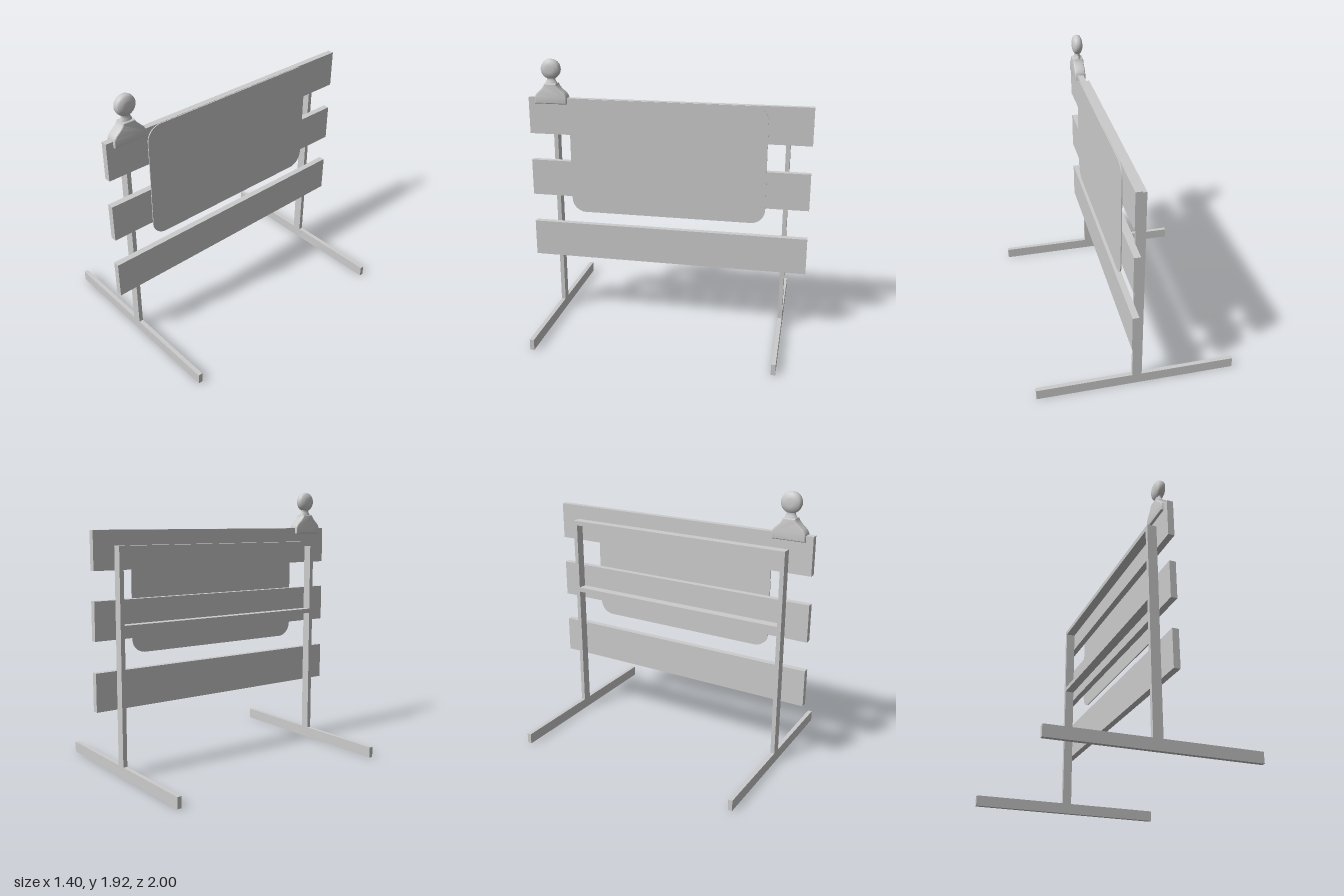
import * as THREE from 'three';
import { toCreasedNormals } from 'three/addons/utils/BufferGeometryUtils.js';

const grey = new THREE.MeshStandardMaterial({ color: 0xcccccc });

export function createModel() {
  const model = new THREE.Group();
  model.name = 'barricade';

  const add = (name, geometry, parent = model) => {
    const mesh = new THREE.Mesh(geometry, grey);
    mesh.name = name;
    parent.add(mesh);
    return mesh;
  };
  // Box given by its lowest and highest corner
  const box = (name, [x0, y0, z0], [x1, y1, z1]) =>
    add(name, new THREE.BoxGeometry(x1 - x0, y1 - y0, z1 - z0))
      .position.set((x0 + x1) / 2, (y0 + y1) / 2, (z0 + z1) / 2);
  // Symmetric side outline, extruded along x and centred on it
  const slab = (shape, depth, bevel) => {
    const g = new THREE.ExtrudeGeometry(shape, {
      depth: depth - 2 * bevel, curveSegments: 10, bevelEnabled: bevel > 0,
      bevelSize: bevel, bevelThickness: bevel, bevelOffset: -bevel, bevelSegments: 3,
    });
    g.translate(0, 0, bevel - depth / 2);
    g.rotateY(Math.PI / 2);
    return toCreasedNormals(g, 0.6);
  };

  // Feet and uprights
  for (const z of [0.825, -0.835]) {
    box('foot', [-0.7, 0, z - 0.015], [0.7, 0.076, z + 0.015]);
    box('upright', [-0.036, 0.076, z - 0.015], [0.03, 1.55, z + 0.015]);
  }

  // Cross rails joining the uprights
  for (const top of [1.55, 1.03])
    box('crossRail', [-0.036, top - 0.033, -0.82], [0.03, top, 0.81]);

  // Three boards
  for (const y of [0.46, 0.932, 1.39])
    box('board', [0.034, y, -1], [0.078, y + 0.262, 1]);

  // Sign panel with rounded corners
  const w = 0.7, h = 0.415, r = 0.1;
  const panel = new THREE.Shape();
  panel.moveTo(w, h - r);
  panel.absarc(w - r, h - r, r, 0, Math.PI / 2);
  panel.absarc(r - w, h - r, r, Math.PI / 2, Math.PI);
  panel.absarc(r - w, r - h, r, Math.PI, Math.PI * 1.5);
  panel.absarc(w - r, r - h, r, Math.PI * 1.5, Math.PI * 2);
  add('signPanel', slab(panel, 0.007, 0)).position.set(0.0815, 1.235, 0);

  // Warning lamp straddling the top board
  const lamp = new THREE.Group();
  lamp.name = 'warningLamp';
  lamp.position.set(0.056, 1.61, 0.832);
  model.add(lamp);

  const body = new THREE.Shape();
  body.moveTo(-0.117, 0);
  body.lineTo(0.117, 0);
  body.lineTo(0.117, 0.045);
  body.quadraticCurveTo(0.112, 0.066, 0.09, 0.085);
  body.quadraticCurveTo(0.048, 0.12, 0.043, 0.143);
  body.lineTo(-0.043, 0.143);
  body.quadraticCurveTo(-0.048, 0.12, -0.09, 0.085);
  body.quadraticCurveTo(-0.112, 0.066, -0.117, 0.045);
  add('lampBody', slab(body, 0.078, 0.008));

  // Flattened neck
  const neck = new THREE.LatheGeometry(
    [[0.045, 0.135], [0.043, 0.147], [0.034, 0.16], [0.031, 0.172], [0.034, 0.19]]
      .map(([x, y]) => new THREE.Vector2(x, y)), 24);
  neck.scale(0.6, 1, 1);
  add('lampNeck', neck, lamp);

  // Lens disc, turned about the x axis
  const lens = new THREE.LatheGeometry(
    [[0, -0.038], [0.025, -0.037], [0.04, -0.034], [0.058, -0.026], [0.068, -0.017], [0.071, 0],
      [0.068, 0.017], [0.058, 0.026], [0.04, 0.034], [0.025, 0.037], [0, 0.038]]
      .map(([x, y]) => new THREE.Vector2(x, y)), 32);
  lens.rotateZ(Math.PI / 2);
  add('lampLens', lens, lamp).position.y = 0.243;

  lamp.add(model.getObjectByName('lampBody'));
  return model;
}
